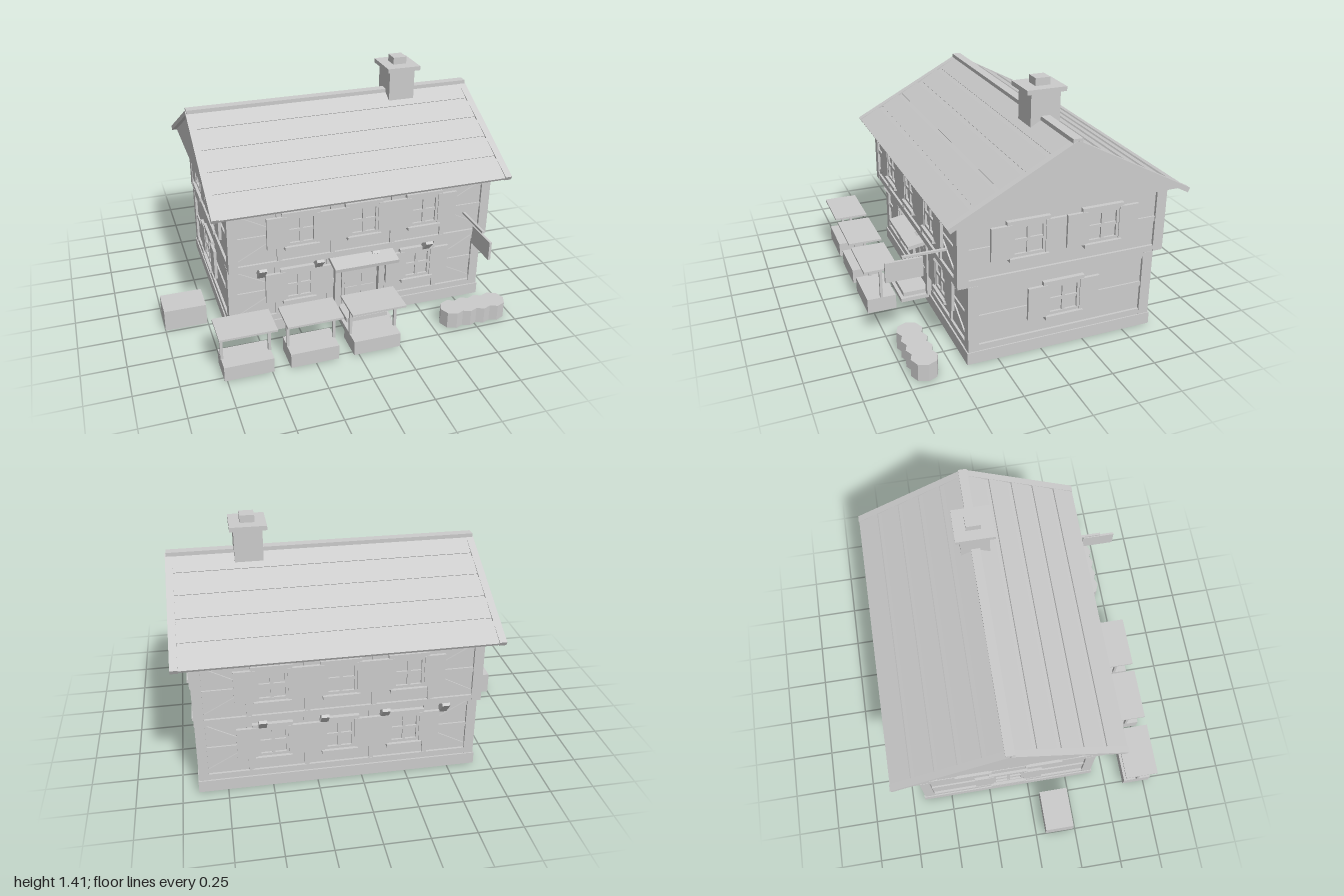
import * as THREE from 'three';

const stone = new THREE.MeshStandardMaterial({ color: 0xcccccc });
stone.name = 'pale grey';

// axis-aligned box given by its limits
function box(parent, name, x0, x1, y0, y1, z0, z1) {
  const m = new THREE.Mesh(new THREE.BoxGeometry(x1 - x0, y1 - y0, z1 - z0), stone);
  m.position.set((x0 + x1) / 2, (y0 + y1) / 2, (z0 + z1) / 2);
  m.name = name;
  parent.add(m);
  return m;
}

// straight beam between two points of a wall plane
function brace(parent, name, ax, ay, bx, by, width, z0, z1) {
  const len = Math.hypot(bx - ax, by - ay);
  const m = box(parent, name, -len / 2, len / 2, -width / 2, width / 2, z0, z1);
  m.position.set((ax + bx) / 2, (ay + by) / 2, (z0 + z1) / 2);
  m.rotation.z = Math.atan2(by - ay, bx - ax);
}

// framed window with cross bars, sill, lintel and open shutters
function shutteredWindow(parent, x, y, w) {
  const g = new THREE.Group();
  g.name = 'window';
  g.position.set(x, y, 0);
  const h = w / 2, t = 0.09;
  box(g, 'glass', -h, h, -t, t, -0.02, -0.004);
  for (const s of [-1, 1]) {
    box(g, 'frameSide', s * (h - 0.008) - 0.008, s * (h - 0.008) + 0.008, -t, t, -0.015, 0.008);
    box(g, 'frameRail', -h, h, s * (t - 0.008) - 0.008, s * (t - 0.008) + 0.008, -0.015, 0.008);
    box(g, 'shutter', s * (h + 0.056) - 0.057, s * (h + 0.056) + 0.057, -0.094, 0.094, -0.004, 0.013);
  }
  box(g, 'mullion', -0.009, 0.009, -t, t, -0.015, 0.006);
  box(g, 'crossBar', -h, h, -0.009, 0.009, -0.015, 0.006);
  box(g, 'sill', -h - 0.015, h + 0.015, -0.11, -0.09, -0.015, 0.026);
  box(g, 'lintel', -h - 0.025, h + 0.025, 0.09, 0.113, -0.015, 0.009);
  parent.add(g);
}

// timber face of one storey; its local z = 0 is the outer beam plane
function facade(parent, name, half, y0, y1, long, windows, windowY, windowW) {
  const g = new THREE.Group();
  g.name = name;
  const mid = (y0 + y1) / 2;
  box(g, 'bottomBeam', -half, half, y0, y0 + 0.036, -0.02, -0.002);
  box(g, 'topBeam', -half, half, y1 - 0.036, y1, -0.02, -0.002);
  box(g, 'middleBeam', -half, half, mid - 0.014, mid + 0.014, -0.02, -0.006);
  if (long) for (const s of [-1, 1]) {
    for (const u of [0.18, 0.49]) box(g, 'stud', s * u - 0.014, s * u + 0.014, y0, y1, -0.02, -0.004);
    brace(g, 'upperBrace', s * (half - 0.04), y1 - 0.045, s * 0.5, mid + 0.02, 0.024, -0.02, -0.007);
    brace(g, 'lowerBrace', s * (half - 0.04), y0 + 0.045, s * 0.5, mid - 0.02, 0.024, -0.02, -0.007);
  }
  for (const u of windows) shutteredWindow(g, u, windowY, windowW);
  parent.add(g);
  return g;
}

// one storey: plaster core, corner posts and four timber faces
function storey(parent, name, y0, y1, halfZ, winY, front, back, side) {
  const g = new THREE.Group(), halfX = 0.78;
  g.name = name;
  box(g, 'plasterWalls', -halfX + 0.015, halfX - 0.015, y0, y1, -halfZ + 0.015, halfZ - 0.015);
  for (const sx of [-1, 1]) for (const sz of [-1, 1]) {
    const px = sx * (halfX - 0.027), pz = sz * (halfZ - 0.03);
    box(g, 'cornerPost', px - 0.027, px + 0.027, y0, y1, pz - 0.03, pz + 0.03);
  }
  facade(g, 'frontFace', halfX, y0, y1, true, front, winY, 0.17).position.z = halfZ;
  const b = facade(g, 'backFace', halfX, y0, y1, true, back, winY, 0.17);
  b.position.z = -halfZ;
  b.rotation.y = Math.PI;
  for (const s of [-1, 1]) {
    const f = facade(g, 'sideFace', halfZ, y0, y1, false, side, winY, 0.19);
    f.position.x = s * halfX;
    f.rotation.y = s * Math.PI / 2;
  }
  parent.add(g);
}

function buildRoof(house) {
  const roof = new THREE.Group();
  roof.name = 'roof';
  const run = 0.67, rise = 0.355, angle = Math.atan2(rise, run);
  const tri = new THREE.Shape([
    new THREE.Vector2(-0.65, 0), new THREE.Vector2(0.65, 0), new THREE.Vector2(0, 0.345)]);
  const geo = new THREE.ExtrudeGeometry(tri, { depth: 1.69, bevelEnabled: false });
  geo.translate(0, 0, -0.845);
  const gable = new THREE.Mesh(geo, stone);
  gable.name = 'gable';
  gable.rotation.y = Math.PI / 2;
  gable.position.y = 0.85;
  roof.add(gable);
  const rows = [[0.02, 0.12], [0.145, 0.255], [0.28, 0.39], [0.41, 0.523], [0.545, 0.67]];
  for (const turn of [0, Math.PI]) {
    const half = new THREE.Group(), slope = new THREE.Group();
    half.name = 'roofSide';
    half.rotation.y = turn;
    slope.name = 'slope';
    slope.position.y = 1.2;
    slope.rotation.x = angle;
    const k = 1 / Math.cos(angle);
    box(slope, 'roofSlab', -0.83, 0.83, -0.012, 0, 0, run * k);
    for (const [a, b] of rows) {
      const row = box(slope, 'shingleRow', -0.83, 0.83, -0.004, 0.006, a * k, b * k);
      row.rotation.x = 0.04;
    }
    for (const s of [-1, 1])
      box(slope, 'bargeBoard', s * 0.85 - 0.02, s * 0.85 + 0.02, -0.018, 0.009, 0, run * k);
    half.add(slope);
    roof.add(half);
  }
  box(roof, 'ridgeBeam', -0.865, 0.865, 1.185, 1.218, -0.026, 0.026);
  box(roof, 'chimneyStack', 0.34, 0.497, 1.08, 1.345, -0.085, 0.083);
  box(roof, 'chimneyCap', 0.315, 0.518, 1.345, 1.37, -0.11, 0.115);
  box(roof, 'chimneyPot', 0.377, 0.458, 1.37, 1.412, -0.042, 0.042);
  house.add(roof);
}

export function createModel() {
  const model = new THREE.Group();
  model.name = 'timberInn';

  // house, with its own centre line
  const house = new THREE.Group();
  house.name = 'house';
  house.position.set(0.126, 0, -0.125);
  model.add(house);
  box(house, 'foundation', -0.785, 0.785, 0, 0.07, -0.547, 0.547);
  const three = [-0.365, 0, 0.365];
  storey(house, 'groundFloor', 0.07, 0.46, 0.54, 0.292, [-0.365, 0.365], three, [0]);
  storey(house, 'upperFloor', 0.46, 0.85, 0.597, 0.68, three, three, [-0.212, 0.212]);
  buildRoof(house);

  // brackets beneath the overhanging floor
  for (const s of [-1, 1]) for (const x of [-0.586, -0.251, 0.084, 0.419]) {
    const b = box(house, 'bracket', x - 0.022, x + 0.022, -0.05, 0.05, -0.016, 0.016);
    b.position.set(x, 0.415, s * 0.555);
    b.rotation.x = s * 0.7;
  }

  // entrance
  const door = new THREE.Group();
  door.name = 'entrance';
  model.add(door);
  box(door, 'door', 0.02, 0.235, 0.09, 0.36, 0.4, 0.42);
  for (const x of [0.075, 0.18]) for (const [a, b] of [[0.12, 0.21], [0.235, 0.335]])
    box(door, 'doorPanel', x - 0.04, x + 0.04, a, b, 0.41, 0.425);
  for (const x of [-0.008, 0.262]) box(door, 'doorPost', x - 0.018, x + 0.018, 0.07, 0.37, 0.4, 0.435);
  box(door, 'doorLintel', -0.035, 0.29, 0.365, 0.4, 0.4, 0.44);
  const canopy = box(door, 'canopy', -0.065, 0.32, -0.011, 0.011, -0.07, 0.07);
  canopy.position.set(0.127, 0.428, 0.483);
  canopy.rotation.x = 0.16;
  box(door, 'upperStep', 0, 0.25, 0.07, 0.096, 0.41, 0.57);
  box(door, 'lowerStep', -0.02, 0.27, 0.047, 0.07, 0.41, 0.59);

  // hanging sign
  box(model, 'signArm', 0.744, 0.758, 0.61, 0.622, 0.47, 0.71);
  box(model, 'signBoard', 0.744, 0.758, 0.49, 0.6, 0.6, 0.8);

  // canopied stalls
  for (const x of [-0.627, -0.257, 0.108]) {
    const stall = new THREE.Group();
    stall.name = 'stall';
    stall.position.set(x, 0, 0.7);
    box(stall, 'stallBase', -0.138, 0.138, 0.004, 0.092, -0.085, 0.085);
    for (const s of [-1, 1]) box(stall, 'stallPost', s * 0.133 - 0.008, s * 0.133 + 0.008, 0.09, 0.276, -0.008, 0.008);
    box(stall, 'stallTop', -0.158, 0.158, 0.275, 0.287, -0.1, 0.1);
    model.add(stall);
  }

  // crate beside the house and low hedge
  box(model, 'crate', -1, -0.755, 0, 0.13, 0.06, 0.235);
  for (let i = 0; i < 4; i++) {
    const bush = new THREE.Mesh(new THREE.CylinderGeometry(0.073, 0.073, 0.1, 8).toNonIndexed(), stone);
    bush.geometry.computeVertexNormals();
    bush.position.set(0.63 + i * 0.0875, 0.05, 0.65);
    bush.name = 'hedgeClump';
    model.add(bush);
  }
  return model;
}
